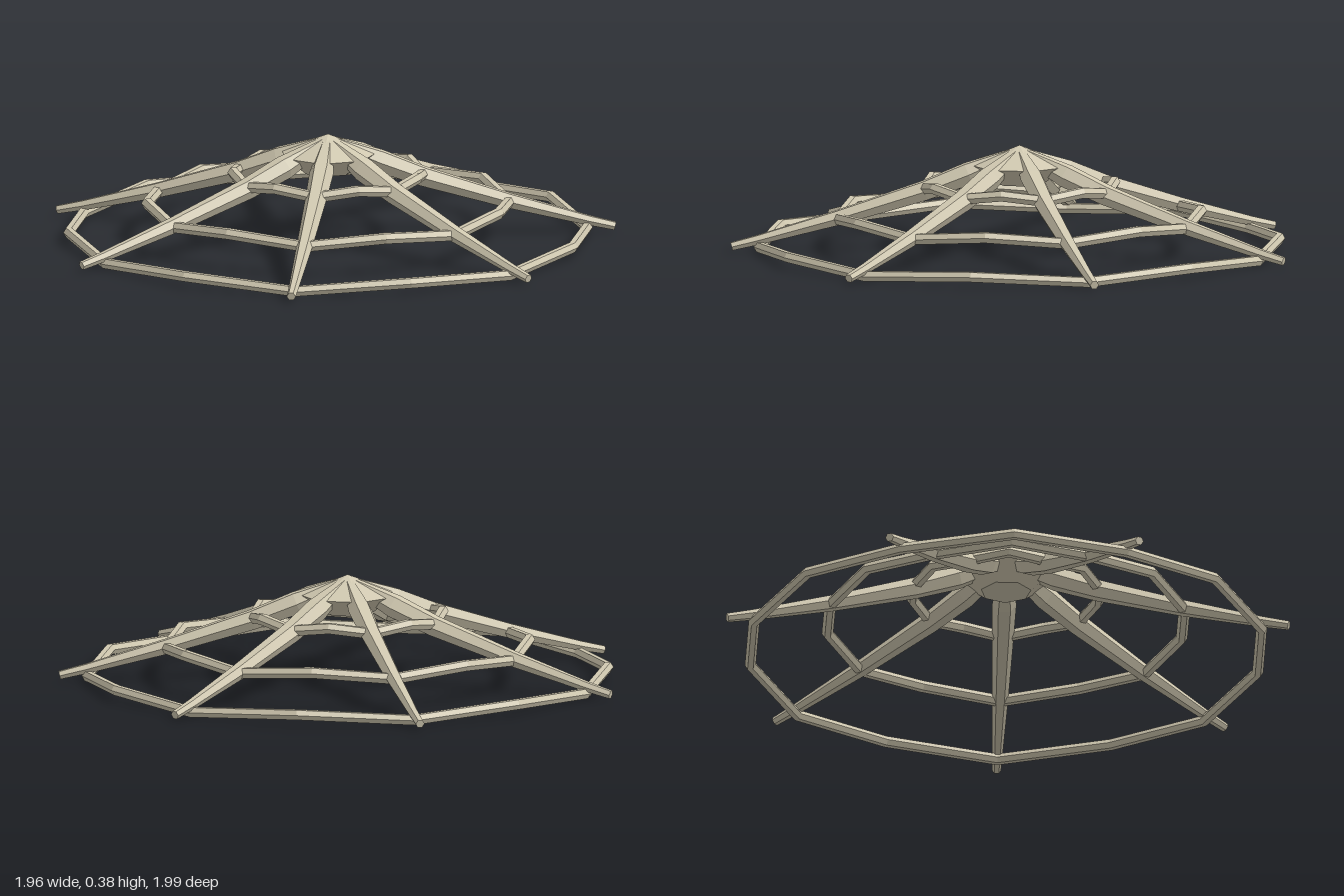
import * as THREE from 'three';

const SPOKES = 7, SIDES = 6;
const CENTRE_X = -0.045;

// Skin a list of equal cross-sections; either joined end to end or capped
function loft(loops, closed) {
  const n = loops.length, m = loops[0].length, index = [];
  for (let i = 0; i < (closed ? n : n - 1); i++) {
    for (let j = 0; j < m; j++) {
      const a = i * m + j, b = ((i + 1) % n) * m + j;
      const d = i * m + (j + 1) % m, c = ((i + 1) % n) * m + (j + 1) % m;
      index.push(a, b, c, a, c, d);
    }
  }
  if (!closed) {
    const e = (n - 1) * m;
    for (let j = 1; j < m - 1; j++) index.push(0, j, j + 1, e, e + j + 1, e + j);
  }
  const g = new THREE.BufferGeometry();
  g.setAttribute('position', new THREE.Float32BufferAttribute(loops.flat(2), 3));
  g.setIndex(index);
  g.computeVertexNormals();
  return g;
}

// Tapered spoke sloping down from the apex along +x: [radius, height, thickness]
function spokeGeometry() {
  const path = [[0, 0.362, 0.02], [0.18, 0.285, 0.043], [0.335, 0.225, 0.038],
    [0.64, 0.13, 0.029], [0.92, 0.053, 0.019], [1.015, 0.03, 0.016]];
  const loops = path.map(([r, y, c], i) => {
    const p = path[Math.max(i - 1, 0)], q = path[Math.min(i + 1, path.length - 1)];
    const len = Math.hypot(q[0] - p[0], q[1] - p[1]);
    const nx = -(q[1] - p[1]) / len, ny = (q[0] - p[0]) / len;
    return Array.from({ length: SIDES }, (_, j) => {
      const b = (j + 0.5) / SIDES * Math.PI * 2, u = c * Math.cos(b);
      return [r + nx * u, y + ny * u, -c * Math.sin(b)];
    });
  });
  return loft(loops, false);
}

// Fourteen-sided ring, dipping where it meets each spoke
function ringGeometry(radius, spokeY, midY, c) {
  const count = SPOKES * 2;
  const loops = Array.from({ length: count }, (_, i) => {
    const a = i / count * Math.PI * 2, y = i % 2 ? midY : spokeY;
    return Array.from({ length: SIDES }, (_, j) => {
      const b = j / SIDES * Math.PI * 2, r = radius + c * Math.cos(b);
      return [r * Math.cos(a), y + c * Math.sin(b), -r * Math.sin(a)];
    });
  });
  return loft(loops, true);
}

export function createModel() {
  const model = new THREE.Group();
  model.name = 'webFrame';
  const bone = new THREE.MeshStandardMaterial({ color: 0xd0c8b0 });
  bone.name = 'paleBone';
  bone.flatShading = true;
  const add = (name, geometry) => {
    const mesh = new THREE.Mesh(geometry, bone);
    mesh.name = name;
    mesh.position.x = CENTRE_X;
    model.add(mesh);
    return mesh;
  };

  // Faceted hub with a shallow peak
  const profile = [[0, 0.25], [0.09, 0.25], [0.175, 0.315], [0, 0.385]]
    .map(([x, y]) => new THREE.Vector2(x, y));
  add('hub', new THREE.LatheGeometry(profile, SPOKES, Math.PI / 2));

  // Radiating spokes
  const spoke = spokeGeometry();
  for (let i = 0; i < SPOKES; i++) {
    add('spoke' + (i + 1), spoke).rotation.y = i / SPOKES * Math.PI * 2;
  }

  // Concentric rings
  add('innerRing', ringGeometry(0.335, 0.232, 0.252, 0.021));
  add('middleRing', ringGeometry(0.64, 0.125, 0.148, 0.021));
  add('outerRing', ringGeometry(0.917, 0.027, 0.048, 0.02));

  // Rest the lowest point on the ground
  const box = new THREE.Box3().setFromObject(model);
  model.position.y = -box.min.y;
  return model;
}
